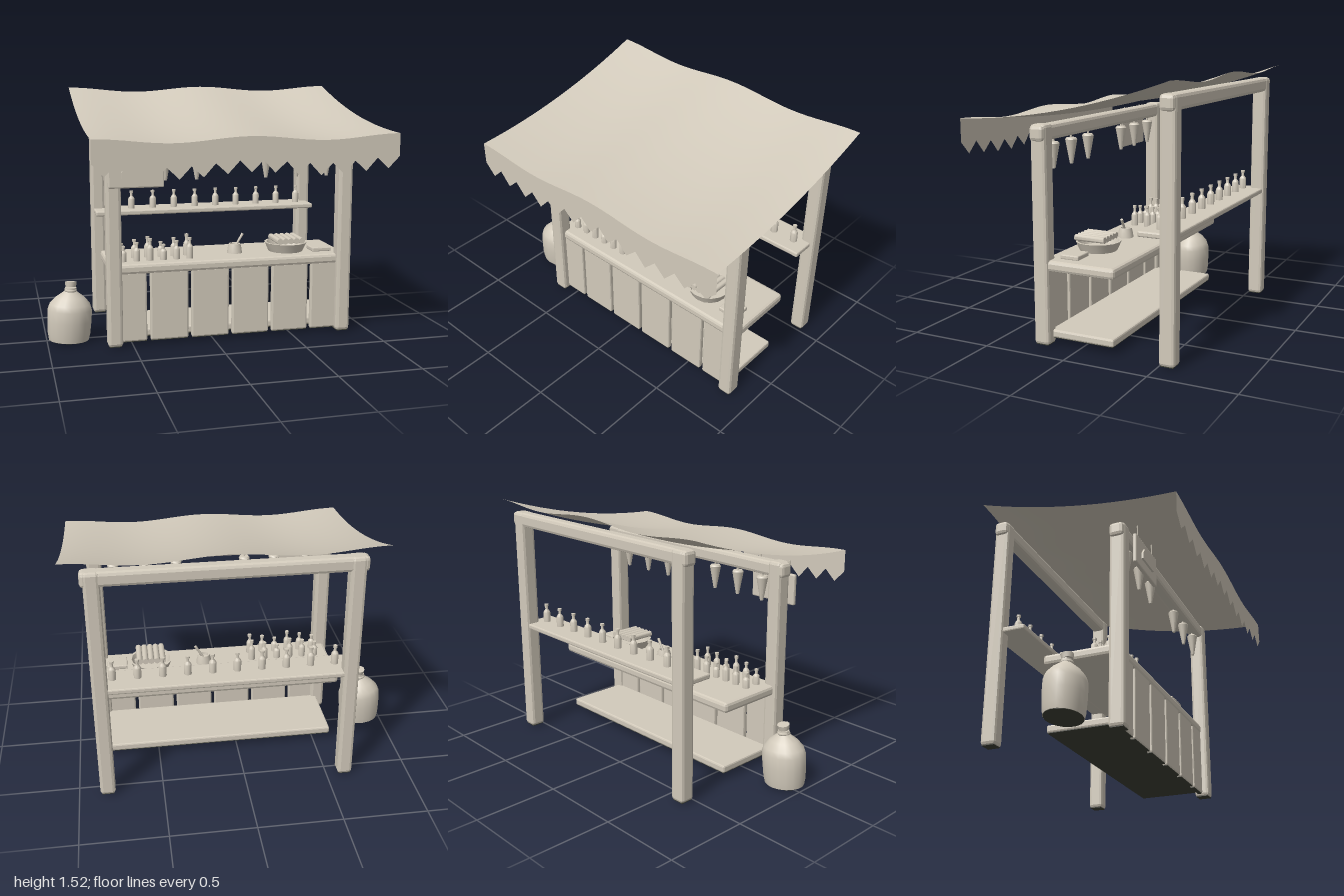
import * as THREE from 'three';
import { RoundedBoxGeometry } from 'three/addons/geometries/RoundedBoxGeometry.js';
import { toCreasedNormals } from 'three/addons/utils/BufferGeometryUtils.js';

const clay = new THREE.MeshStandardMaterial({ color: 0xd2cabb, side: THREE.DoubleSide });
clay.name = 'warm grey';
const dark = new THREE.MeshStandardMaterial({ color: 0x3e4036 });
dark.name = 'dark underside';

const X0 = -0.775, X1 = 1.0, Z0 = -0.622, Z1 = 0.622;
const wave = x => 0.015 * Math.cos((2 * Math.PI * (x - X0)) / 0.8875);
const roofY = (x, z) => 1.34 - 0.191 * z + 0.13 * z * z + wave(x);

export function createModel() {
  const model = new THREE.Group();
  model.name = 'marketStall';

  const add = (name, geometry, x = 0, y = 0, z = 0, parent = model, material = clay) => {
    const mesh = new THREE.Mesh(geometry, material);
    mesh.name = name;
    mesh.position.set(x, y, z);
    parent.add(mesh);
    return mesh;
  };
  // Chamfered timber given by its extents
  const timber = (name, x0, x1, y0, y1, z0, z1, r = 0.012) => {
    const g = new RoundedBoxGeometry(x1 - x0, y1 - y0, z1 - z0, 1, r);
    g.computeVertexNormals();
    return add(name, g, (x0 + x1) / 2, (y0 + y1) / 2, (z0 + z1) / 2);
  };
  // Timber with a thin dark plate on its underside
  const footedTimber = (name, x0, x1, y0, y1, z0, z1, r) => {
    timber(name, x0, x1, y0, y1, z0, z1, r);
    add(name + 'Underside', new THREE.BoxGeometry(x1 - x0 - r, 0.004, z1 - z0 - r),
      (x0 + x1) / 2, y0, (z0 + z1) / 2, model, dark);
  };
  const lathe = (points, sides) => toCreasedNormals(
    new THREE.LatheGeometry(points.map(p => new THREE.Vector2(...p)), sides), 0.7);

  // Posts and cross beams
  for (const x of [-0.61, 0.83]) {
    footedTimber('frontPost', x - 0.045, x + 0.045, 0.015, 1.26, 0.167, 0.262, 0.018);
    footedTimber('backPost', x - 0.045, x + 0.045, 0.015, 1.45, -0.599, -0.506, 0.018);
  }
  timber('frontBeam', -0.672, 0.892, 1.168, 1.255, 0.171, 0.258, 0.02);
  timber('backBeam', -0.672, 0.892, 1.363, 1.45, -0.595, -0.51, 0.02);

  // Counter, shelves and front planks
  timber('counterTop', -0.635, 0.862, 0.443, 0.505, -0.238, 0.225, 0.018);
  footedTimber('lowerShelf', -0.605, 0.825, 0.05, 0.095, -0.214, 0.19, 0.01);
  timber('bottleShelf', -0.64, 0.85, 0.698, 0.73, -0.588, -0.37, 0.008);
  for (let i = 0; i < 6; i++) {
    const x = -0.53 + i * 0.2545;
    footedTimber('frontPlank', Math.max(x - 0.117, -0.63), Math.min(x + 0.117, 0.85), 0.03, 0.458, 0.185, 0.22, 0.01);
  }

  // Wavy cloth roof
  const roof = new THREE.PlaneGeometry(X1 - X0, Z1 - Z0, 40, 16);
  roof.rotateX(-Math.PI / 2).translate((X0 + X1) / 2, 0, 0);
  const p = roof.attributes.position;
  for (let i = 0; i < p.count; i++) p.setY(i, roofY(p.getX(i), p.getZ(i)));
  roof.computeVertexNormals();
  add('clothRoof', roof);

  // Zigzag valance along the front edge
  const valance = new THREE.Shape();
  const teeth = 13, half = (X1 - X0) / (teeth * 2);
  for (let i = 0; i <= teeth * 2; i++) {
    const x = X0 + i * half, y = roofY(x, Z1) - (i % 2 ? 0.2 : 0.132);
    i ? valance.lineTo(x, y) : valance.moveTo(x, y);
  }
  for (let i = 40; i >= 0; i--) {
    const x = X0 + ((X1 - X0) * i) / 40;
    valance.lineTo(x, roofY(x, Z1));
  }
  add('valance', new THREE.ShapeGeometry(valance), 0, 0, Z1);

  // Hanging sign with a raised bowl relief and two cords
  timber('signBoard', -0.65, -0.325, 0.978, 1.165, 0.31, 0.335, 0.008);
  const bowlShape = new THREE.Shape([[-0.085, 0], [0.085, 0], [0.085, 0.035], [0.055, 0.075], [-0.055, 0.075], [-0.085, 0.035]]
    .map(v => new THREE.Vector2(...v)));
  add('signRelief', new THREE.ExtrudeGeometry(bowlShape, { depth: 0.014, bevelEnabled: false }), -0.49, 1.035, 0.333);
  for (const x of [-0.6, -0.375])
    add('signCord', new THREE.CylinderGeometry(0.004, 0.004, 0.09, 6), x, 1.198, 0.322);

  // Tapered bundles hanging from the front beam
  for (const x of [-0.49, -0.295, -0.105, 0.325, 0.52, 0.715])
    add('hangingBundle', lathe([[0, 0], [0.01, 0], [0.035, 0.14], [0.028, 0.15], [0.006, 0.152], [0.006, 0.18]], 12), x, 1.0, 0.21);

  // Bottles
  const bottle = (name, x, y, z, r, h, sides) => add(name, lathe([
    [0, 0], [r, 0], [r, h * 0.52], [r * 0.85, h * 0.6], [r * 0.4, h * 0.7], [r * 0.4, h * 0.87],
    [r * 0.58, h * 0.88], [r * 0.58, h], [0, h]], sides), x, y, z);
  for (let i = 0; i < 10; i++)
    bottle('shelfBottle', -0.538 + i * 0.144, 0.73, -0.465, 0.022, 0.117, 12);
  const heights = [0.095, 0.115, 0.135, 0.095, 0.115, 0.13];
  for (let i = 0; i < 6; i++)
    [0.125, 0.035].forEach((z, row) =>
      bottle('counterBottle', -0.54 + i * 0.082, 0.505, z, 0.021, heights[(i + row * 3) % 6], 12));

  // Mortar and pestle
  add('mortar', lathe([[0, 0], [0.049, 0], [0.045, 0.03], [0.037, 0.058], [0.029, 0.058], [0.026, 0.04], [0, 0.036]], 12), 0.18, 0.505, 0.035);
  const pestle = add('pestle', new THREE.CylinderGeometry(0.009, 0.006, 0.1, 8), 0.207, 0.582, 0.035);
  pestle.rotation.z = -0.55;

  // Basket of long loaves
  add('basket', lathe([[0, 0], [0.11, 0], [0.135, 0.056], [0.122, 0.056], [0.104, 0.012], [0, 0.012]], 16), 0.515, 0.505, 0.04);
  for (let i = 0; i < 5; i++) {
    const loaf = add('loaf', toCreasedNormals(new THREE.CylinderGeometry(0.019, 0.019, 0.19, 10), 0.7), 0.444 + i * 0.036, 0.582, 0.055);
    loaf.rotation.x = Math.PI / 2;
  }
  timber('smallTray', 0.665, 0.79, 0.503, 0.53, 0.02, 0.135, 0.006);

  // Lopsided jug beside the stall
  const jug = new THREE.Group();
  jug.name = 'jug';
  jug.position.set(-0.869, 0.014, 0.022);
  jug.rotation.z = -0.06;
  model.add(jug);
  const body = add('jugBody', lathe([[0, 0], [0.105, 0], [0.112, 0.04], [0.116, 0.12], [0.116, 0.19], [0.106, 0.225],
    [0.075, 0.265], [0.042, 0.293], [0.032, 0.302], [0.03, 0.325], [0, 0.325]], 18), 0, 0, 0, jug);
  body.scale.x = 1.16;
  const base = add('jugUnderside', new THREE.CylinderGeometry(0.103, 0.103, 0.004, 18), 0, 0, 0, jug, dark);
  base.scale.x = 1.16;
  add('jugCollar', new THREE.TorusGeometry(0.03, 0.009, 6, 12).rotateX(Math.PI / 2), 0, 0.308, 0, jug);
  const stopper = add('jugStopper', toCreasedNormals(new THREE.CylinderGeometry(0.037, 0.032, 0.03, 10), 0.7), 0, 0.345, 0, jug);
  stopper.rotation.set(-0.15, 0, 0);

  return model;
}
